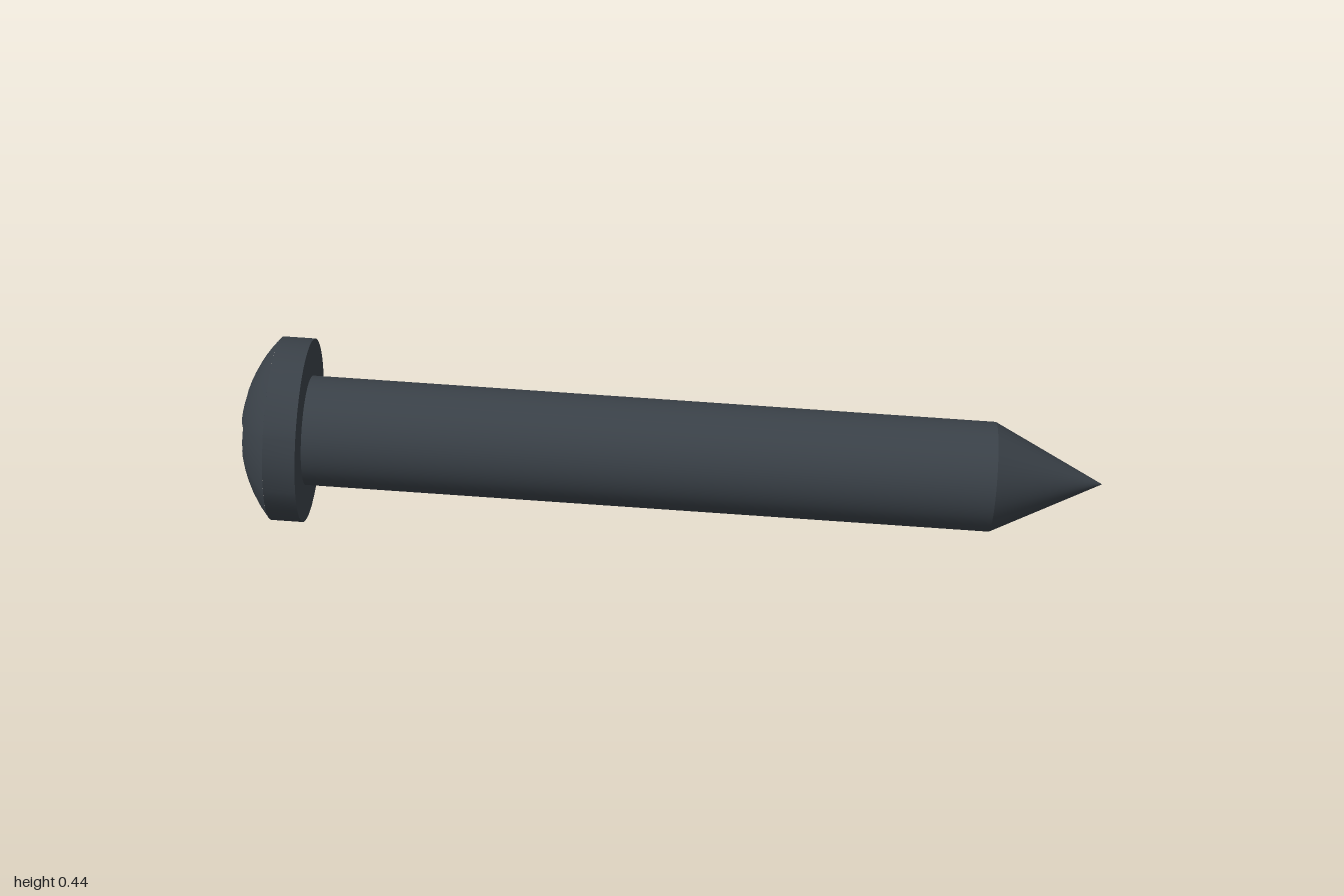
import * as THREE from 'three';

const HEAD_R = 0.218, RIM = 0.075, DOME_R = 0.328, DOME_C = 0.17;
const SHAFT_R = 0.13, SHAFT_L = 1.618, TIP_L = 0.26;
const ARM = 0.1, ARM_W = 0.04, RECESS_Y = -0.08;

// height of the domed face at a given radius (the head points to -y)
const domeY = (r) => DOME_C - Math.sqrt(DOME_R * DOME_R - r * r);

// distance from the axis to the cross outline along an angle
function crossRadius(t) {
  const c = Math.abs(Math.cos(t)), s = Math.abs(Math.sin(t));
  return Math.min(ARM / Math.max(c, s), ARM_W / Math.max(Math.min(c, s), 1e-6));
}

// even steps around the head, plus the exact corners of the cross
function headAngles() {
  const list = [];
  const corner = Math.atan2(ARM_W, ARM);
  for (let i = 0; i < 40; i++) list.push((i / 40) * Math.PI * 2);
  for (let q = 0; q < 4; q++) {
    for (const a of [-corner, corner]) list.push((q * Math.PI / 2 + a + Math.PI * 2) % (Math.PI * 2));
  }
  return list.sort((a, b) => a - b);
}

// surface through rows of rings; each row maps an angle to [radius, y]
function loft(angles, rows, flat = false) {
  const n = angles.length, pos = [], idx = [];
  rows.forEach((row) => angles.forEach((t) => {
    const [r, y] = row(t);
    pos.push(r * Math.cos(t), y, r * Math.sin(t));
  }));
  for (let k = 0; k < rows.length - 1; k++) {
    for (let i = 0; i < n; i++) {
      const a = k * n + i, b = k * n + (i + 1) % n;
      idx.push(a, a + n, b, b, a + n, b + n);
    }
  }
  let geo = new THREE.BufferGeometry();
  geo.setAttribute('position', new THREE.Float32BufferAttribute(pos, 3));
  geo.setIndex(idx);
  if (flat) geo = geo.toNonIndexed();
  geo.computeVertexNormals();
  return geo;
}

export function createModel() {
  const steel = new THREE.MeshStandardMaterial({ color: 0x3a4148 });
  steel.name = 'darkSteel';
  const model = new THREE.Group();
  model.name = 'screw';
  const add = (name, geo, y = 0) => {
    const mesh = new THREE.Mesh(geo, steel);
    mesh.name = name;
    mesh.position.y = y;
    model.add(mesh);
  };

  // head: domed face around the cross recess, rim and underside
  const angles = headAngles();
  const domeRows = [];
  for (let k = 0; k <= 6; k++) {
    domeRows.push((t) => {
      const r = THREE.MathUtils.lerp(crossRadius(t), HEAD_R, k / 6);
      return [r, domeY(r)];
    });
  }
  const rimBack = () => [HEAD_R, -RIM];
  const rimFront = () => [HEAD_R, 0];
  add('headDome', loft(angles, domeRows));
  add('headRim', loft(angles, [rimBack, rimFront]));
  add('headUnderside', loft(angles, [rimFront, () => [SHAFT_R * 0.95, 0]]));

  // cross recess: slightly tapered walls and a flat floor
  const floorEdge = (t) => [crossRadius(t) * 0.85, RECESS_Y];
  add('recessWalls', loft(angles, [floorEdge, domeRows[0]], true));
  add('recessFloor', loft(angles, [() => [0, RECESS_Y], floorEdge], true));

  // shank and pointed end
  add('shaft', new THREE.CylinderGeometry(SHAFT_R, SHAFT_R, SHAFT_L, 48, 1, true), SHAFT_L / 2);
  add('tip', new THREE.ConeGeometry(SHAFT_R, TIP_L, 48, 6, true), SHAFT_L + TIP_L / 2);

  // lay the screw down, resting on the head and the end of the shank
  const seat = new THREE.Vector3(-0.838, 0.222, -0.123);
  const axis = new THREE.Vector3(0.995, 0.12, 0.27).sub(seat).normalize();
  const side = new THREE.Vector3(0, 1, 0).cross(axis).normalize();
  const third = side.clone().cross(axis);
  model.quaternion.setFromRotationMatrix(new THREE.Matrix4().makeBasis(side, axis, third));
  model.position.copy(seat);

  const root = new THREE.Group();
  root.name = 'restingScrew';
  root.add(model);
  return root;
}
